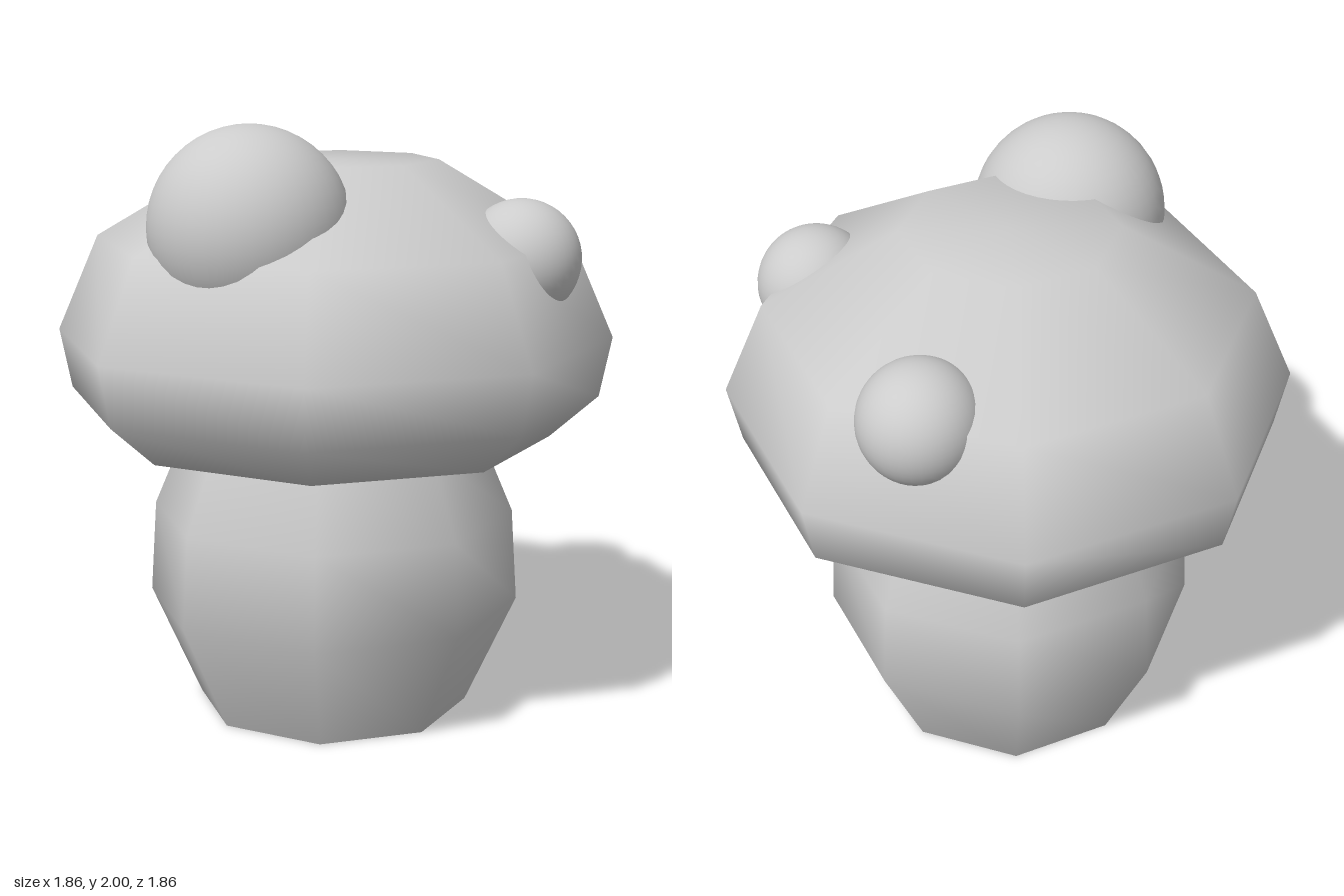
import * as THREE from 'three';

const SIDES = 8;

export function createModel() {
  const model = new THREE.Group();
  model.name = 'mushroom';
  const grey = new THREE.MeshStandardMaterial({ color: 0xcccccc });
  grey.name = 'light grey';

  const add = (name, geometry) => {
    const mesh = new THREE.Mesh(geometry, grey);
    mesh.name = name;
    model.add(mesh);
    return mesh;
  };

  // Smooth-shaded eight-sided turning from [radius, height] pairs, bottom to top
  const turn = (profile) =>
    new THREE.LatheGeometry(profile.map(([r, y]) => new THREE.Vector2(r, y)), SIDES);

  // Stem, running up into the hollow underside of the cap
  add('stem', turn([[0.46, 0], [0.63, 0.37], [0.61, 0.68], [0.5, 0.94], [0.4, 1.18]]));

  // Flat base of the stem with a sharp rim
  const base = add('stemBase', new THREE.CircleGeometry(0.46, SIDES));
  base.rotation.x = Math.PI / 2;

  // Cap: hollow underside, rounded rim and flat crown
  add('cap', turn([
    [0, 1.28], [0.3, 1.22], [0.73, 0.94], [0.89, 1.08],
    [0.93, 1.28], [0.79, 1.6], [0.35, 1.86], [0, 1.86],
  ]));

  // Round warts sunk into the cap: name, radius, centre
  const warts = [
    ['largeWart', 0.32, [-0.455, 1.68, 0.145]],
    ['frontWart', 0.193, [0.304, 1.562, 0.574]],
    ['leftWart', 0.195, [0.625, 1.56, -0.21]],
  ];
  for (const [name, radius, centre] of warts) {
    add(name, new THREE.SphereGeometry(radius, 40, 24)).position.set(...centre);
  }

  return model;
}
